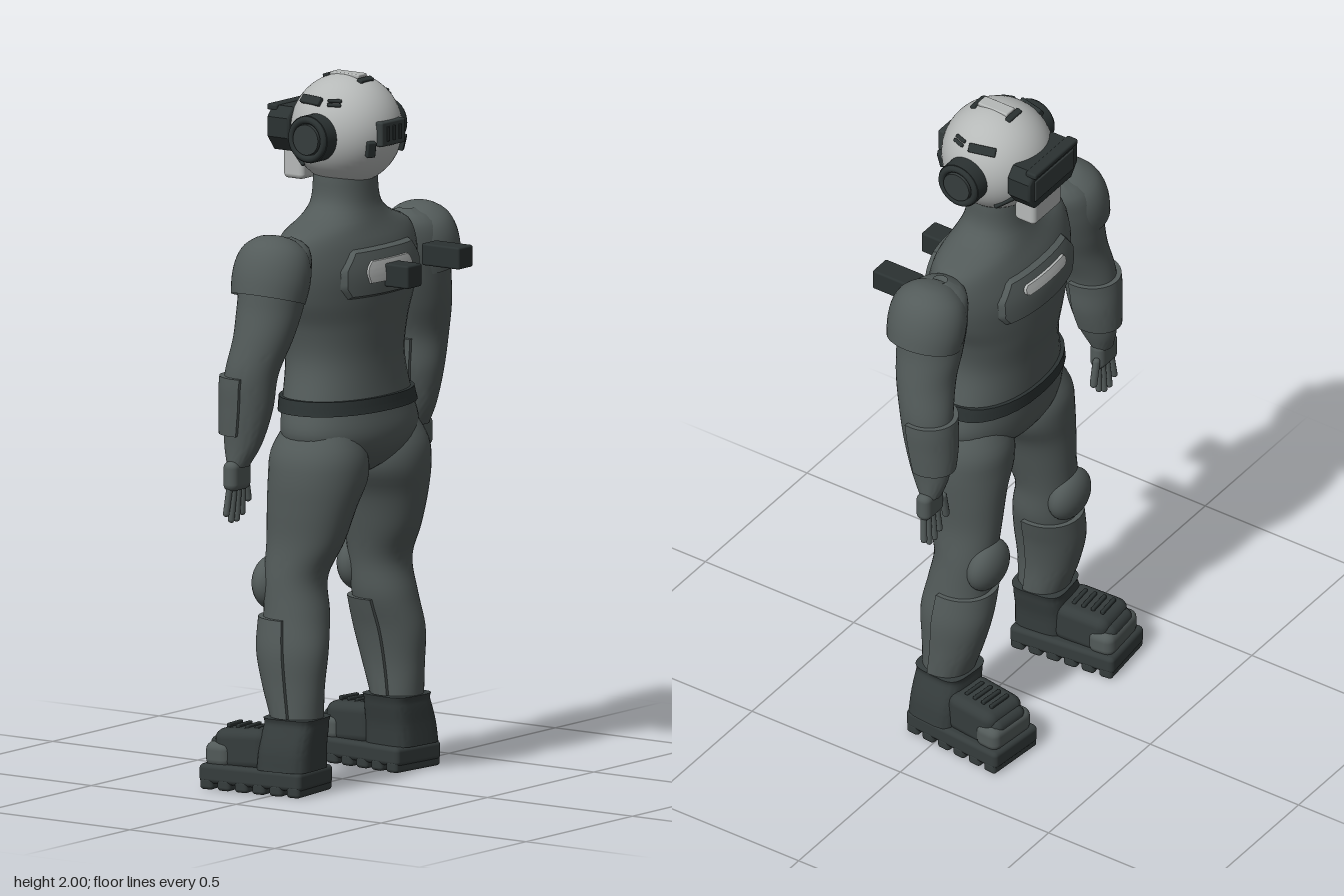
import * as THREE from 'three';
import { toCreasedNormals } from 'three/addons/utils/BufferGeometryUtils.js';
import { RoundedBoxGeometry } from 'three/addons/geometries/RoundedBoxGeometry.js';

const mat = (name, color) => Object.assign(new THREE.MeshStandardMaterial({ color }), { name });

export function createModel() {
  const model = new THREE.Group();
  model.name = 'suitedFigure';
  const suit = mat('suit grey', 0x525a59), boot = mat('boot grey', 0x353c3c);
  const dark = mat('dark trim', 0x2b3232), light = mat('helmet grey', 0xb6b9b8);
  const plate = mat('plate grey', 0x535b5a);
  plate.side = THREE.DoubleSide;

  const add = (name, geo, material, pos = [0, 0, 0], rot = [0, 0, 0], parent = model) => {
    const m = new THREE.Mesh(geo, material);
    m.name = name;
    m.position.set(...pos);
    m.rotation.set(...rot);
    parent.add(m);
    return m;
  };
  const box = (w, h, d, r = 0.006) => new RoundedBoxGeometry(w, h, d, 2, r);

  // Grid surface from f(u, v), u and v in 0..1
  const surface = (nu, nv, f, crease = 0.7) => {
    const pos = [], idx = [];
    for (let j = 0; j <= nv; j++) for (let i = 0; i <= nu; i++) pos.push(...f(i / nu, j / nv, i % nu === 0, j % nv === 0));
    for (let j = 0; j < nv; j++) for (let i = 0; i < nu; i++) {
      const a = j * (nu + 1) + i, b = a + nu + 1;
      idx.push(a, b, a + 1, a + 1, b, b + 1);
    }
    const g = new THREE.BufferGeometry();
    g.setAttribute('position', new THREE.Float32BufferAttribute(pos, 3));
    g.setIndex(idx);
    return toCreasedNormals(g, crease);
  };

  // Smooth interpolation of cross-sections [y, cx, cz, rx, rz] at height y
  const sample = (s, y) => {
    let i = 0;
    while (i < s.length - 2 && y > s[i + 1][0]) i++;
    const a = s[i], b = s[i + 1], h = b[0] - a[0], t = (y - a[0]) / h;
    const p = s[Math.max(i - 1, 0)], q = s[Math.min(i + 2, s.length - 1)];
    return a.map((v, k) => {
      const m0 = (b[k] - p[k]) / (b[0] - p[0]) * h, m1 = (q[k] - a[k]) / (q[0] - a[0]) * h;
      return (2 * t ** 3 - 3 * t * t + 1) * v + (t ** 3 - 2 * t * t + t) * m0 +
        (3 * t * t - 2 * t ** 3) * b[k] + (t ** 3 - t * t) * m1;
    });
  };
  const spow = (v, e) => Math.sign(v) * Math.abs(v) ** e;
  const ring = (s, y, th, n, off, side) => {
    const [, cx, cz, rx, rz] = sample(s, y);
    return [side * cx + (rx + off) * spow(Math.cos(th), 2 / n), y, cz + (rz + off) * spow(Math.sin(th), 2 / n)];
  };
  const loft = (s, rows, n = 2, side = 1) => {
    const y0 = s[0][0], y1 = s[s.length - 1][0];
    return surface(40, rows, (u, v) => ring(s, y0 + (y1 - y0) * v, u * Math.PI * 2, n, 0, side));
  };
  // Raised shell that follows a loft, with its rim sunk into the body
  const shell = (s, y0, y1, t0, t1, off, n = 2, side = 1) => surface(32, 14, (u, v, eu, ev) => {
    const fit = (a, k) => a <= 1 / k + 1e-6 ? 0 : a >= 1 - 1 / k - 1e-6 ? 1 : a;
    return ring(s, y0 + (y1 - y0) * fit(v, 14), t0 + (t1 - t0) * fit(u, 32), n, eu || ev ? -0.01 : off, side);
  });

  // Torso with neck and pelvis
  const torso = [
    [0.87, 0, 0.025, 0.04, 0.04], [0.9, 0, 0.025, 0.11, 0.09], [0.95, 0, 0.025, 0.21, 0.135],
    [1.0, 0, 0.025, 0.246, 0.145], [1.08, 0, 0.016, 0.228, 0.14], [1.2, 0, 0.008, 0.198, 0.138],
    [1.3, 0, 0.004, 0.213, 0.147], [1.38, 0, 0.006, 0.245, 0.152], [1.46, 0, 0.008, 0.263, 0.15],
    [1.53, 0, 0.01, 0.262, 0.13], [1.57, 0, 0.01, 0.235, 0.112], [1.6, 0, 0.01, 0.155, 0.1],
    [1.64, 0, 0.01, 0.106, 0.088], [1.72, 0, 0.01, 0.095, 0.082]];
  add('torso', loft(torso, 60, 2.2), suit);
  add('belt', shell(torso, 1.062, 1.102, 0, Math.PI * 2, 0.011, 2.2), dark);

  // Chest and back panels, bent to the torso; d = -1 chest side, d = 1 the other
  const patch = (d, y0, y1, width, off) => surface(24, 12, (u, v, eu, ev) => {
    const y = y0 + (y1 - y0) * v, x = -d * (u * 2 - 1) * width(v);
    const [, , cz, rx, rz] = sample(torso, y);
    return [x, y, cz + d * (rz * (1 - Math.abs(x / rx) ** 2.2) ** (1 / 2.2) + (eu || ev ? -0.008 : off))];
  }, 0.5);
  const octagon = v => 0.183 - 0.05 * Math.max(0, (v - 0.6) / 0.4) - 0.028 * Math.max(0, (0.25 - v) / 0.25);
  for (const d of [-1, 1]) add(d < 0 ? 'chestPanel' : 'backPanel', patch(d, 1.385, 1.53, octagon, 0.013), plate);
  add('chestStripe', patch(-1, 1.462, 1.498, v => 0.105 - 0.02 * Math.abs(2 * v - 1) ** 3, 0.02), light);
  add('backInsert', patch(1, 1.425, 1.497, v => 0.112 - 0.03 * Math.max(0, (v - 0.5) * 2) ** 2 - 0.03 * Math.max(0, 0.4 - v), 0.018), light);
  add('backModule', box(0.068, 0.065, 0.1), dark, [0, 1.446, 0.2]);
  add('sideModule', box(0.068, 0.062, 0.13), dark, [0.24, 1.465, 0.185]);

  const leg = [
    [0.14, 0.235, 0.03, 0.068, 0.06], [0.2, 0.235, 0.026, 0.067, 0.065], [0.3, 0.235, 0.012, 0.068, 0.085],
    [0.4, 0.228, 0.003, 0.078, 0.1], [0.5, 0.207, -0.006, 0.086, 0.094], [0.6, 0.198, -0.015, 0.084, 0.09],
    [0.7, 0.181, 0.005, 0.091, 0.115], [0.8, 0.168, 0.018, 0.108, 0.132], [0.88, 0.148, 0.025, 0.13, 0.142],
    [0.95, 0.145, 0.025, 0.122, 0.138], [1.03, 0.14, 0.025, 0.08, 0.1]];
  const arm = [
    [0.94, 0.422, -0.05, 0.034, 0.03], [1.0, 0.411, -0.042, 0.046, 0.055], [1.1, 0.402, -0.03, 0.063, 0.072],
    [1.2, 0.4, -0.02, 0.07, 0.078], [1.3, 0.372, 0, 0.082, 0.086], [1.38, 0.348, 0.005, 0.089, 0.095],
    [1.48, 0.325, 0.01, 0.094, 0.1], [1.55, 0.3, 0.01, 0.07, 0.075], [1.575, 0.29, 0.01, 0.02, 0.02]];
  const cuff = [
    [0.07, 0.01, 0.09, 0.088, 0.082], [0.13, 0.004, 0.09, 0.084, 0.08], [0.2, -0.014, 0.092, 0.076, 0.077],
    [0.218, -0.014, 0.092, 0.07, 0.07], [0.22, -0.014, 0.092, 0.01, 0.01]];
  const pad = [[0.097, -0.08], [0.102, -0.03], [0.098, 0.02], [0.082, 0.06], [0.05, 0.088], [0.02, 0.097], [0, 0.098]];

  for (const s of [-1, 1]) {
    const side = s > 0 ? 'left' : 'right';
    // Legs
    add(side + 'Leg', loft(leg, 44, 2.1, s), suit);
    add(side + 'ShinGuard', shell(leg, 0.215, 0.49, Math.PI - 0.15, 2 * Math.PI + 0.15, 0.014, 2.1, s), plate);
    add(side + 'KneePad', new THREE.SphereGeometry(1, 28, 18), suit, [s * 0.2, 0.575, -0.09], [-0.08, 0, 0])
      .scale.set(0.08, 0.078, 0.05);

    // Boots, toes turned outward
    const foot = new THREE.Group();
    foot.name = side + 'Boot';
    foot.position.set(s * 0.258, 0, -0.075);
    foot.rotation.y = -s * 0.1;
    model.add(foot);
    add('sole', box(0.187, 0.055, 0.33, 0.014), boot, [0, 0.045, 0], [0, 0, 0], foot);
    for (let i = 0; i < 6; i++) add('tread', box(0.187, 0.034, 0.042, 0.01), boot, [0, 0.017, -0.14 + i * 0.056], [0, 0, 0], foot);
    add('cuff', loft(cuff, 20, 4, s), boot, [0, 0, 0], [0, 0, 0], foot);
    add('instep', box(0.148, 0.12, 0.17, 0.03), boot, [0, 0.115, -0.045], [-0.06, 0, 0], foot);
    add('toeCap', box(0.166, 0.075, 0.08, 0.025), suit, [0, 0.097, -0.115], [0, 0, 0], foot);
    add('toeStrap', box(0.13, 0.09, 0.09, 0.025), boot, [0, 0.105, -0.105], [0, 0, 0], foot);
    for (let i = 0; i < 4; i++) add('lace', box(0.075, 0.012, 0.012, 0.004), dark, [0, 0.177, -0.1 + i * 0.03], [0, 0, 0], foot);

    // Arms with shoulder pads and forearm guards
    add(side + 'Arm', loft(arm, 40, 2, s), suit);
    add(side + 'ForearmGuard', shell(arm, 1.03, 1.195, Math.PI - 0.2, 2 * Math.PI + 0.2, 0.014, 2, s), plate);
    const profile = new THREE.SplineCurve(pad.map(p => new THREE.Vector2(...p))).getPoints(20);
    add(side + 'ShoulderPad', new THREE.LatheGeometry(profile, 36), plate, [s * 0.345, 1.487, 0.012], [0, 0, s * 0.27])
      .scale.z = 1.12;

    // Hands
    add(side + 'Palm', box(0.092, 0.085, 0.046, 0.02), suit, [s * 0.428, 0.915, -0.05]);
    for (let i = 0; i < 4; i++) {
      const len = [0.075, 0.09, 0.09, 0.07][i];
      add(side + 'Finger', new THREE.CapsuleGeometry(0.0095, len, 4, 10), suit,
        [s * (0.395 + i * 0.023), 0.88 - len / 2, -0.055], [0.08, 0, s * (i - 1.2) * 0.06]);
    }
    add(side + 'Thumb', new THREE.CapsuleGeometry(0.011, 0.07, 4, 10), suit, [s * 0.37, 0.875, -0.06], [0, 0, -s * 0.2]);

    // Ear cups
    const turn = [0, 0, Math.PI / 2];
    add(side + 'EarCup', new THREE.CylinderGeometry(0.067, 0.067, 0.045, 32), dark, [s * 0.165, 1.835, 0.018], turn);
    add(side + 'EarRim', new THREE.TorusGeometry(0.055, 0.01, 10, 32), dark, [s * 0.188, 1.835, 0.018], [0, Math.PI / 2, 0]);
    add(side + 'EarDisc', new THREE.CylinderGeometry(0.043, 0.043, 0.03, 32), boot, [s * 0.184, 1.835, 0.018], turn);
  }

  // Helmet
  const c = new THREE.Vector3(0, 1.84, 0.014), R = 0.157;
  add('helmet', new THREE.SphereGeometry(R, 48, 32), light, c.toArray());
  // Small fitting set on the helmet, facing outward from a point (x, y, z)
  const fitting = (name, p, size, material = dark, roll = 0) => {
    const dir = new THREE.Vector3(...p).sub(c).normalize();
    const m = add(name, box(...size, 0.004), material, c.clone().addScaledVector(dir, R).toArray());
    m.lookAt(c.clone().addScaledVector(dir, 2));
    m.rotateZ(roll);
  };
  add('crownStrip', box(0.04, 0.012, 0.1, 0.004), light, [0, 1.993, 0.02]);
  for (const z of [-0.038, 0.08]) fitting('crownClip', [0, 1.985, z], [0.06, 0.018, 0.012]);
  for (const s of [-1, 1]) {
    fitting('templePlate', [s * 0.125, 1.935, -0.018], [0.08, 0.026, 0.014]);
    for (const y of [1.928, 1.945]) fitting('templeBar', [s * 0.125, y, 0.062], [0.04, 0.01, 0.014]);
    fitting('cheekBar', [s * 0.11, 1.76, -0.085], [0.07, 0.012, 0.012], dark, s * 0.75);
    fitting('rearClip', [s * 0.073, 1.805, 0.15], [0.026, 0.046, 0.024]);
  }
  add('rearUnit', box(0.112, 0.07, 0.03), boot, [0, 1.845, 0.163]);
  for (const x of [-0.028, 0, 0.028]) add('rearSlot', box(0.013, 0.042, 0.006, 0.002), dark, [x, 1.845, 0.178]);

  // Visor and chin piece
  const v = new THREE.Shape([[-0.112, -0.02], [-0.085, -0.055], [0.085, -0.055], [0.112, -0.02],
    [0.112, 0.03], [0.09, 0.055], [-0.09, 0.055], [-0.112, 0.03]].map(p => new THREE.Vector2(...p)));
  const visor = new THREE.ExtrudeGeometry(v, { depth: 0.06, bevelSize: 0.008, bevelThickness: 0.008, bevelSegments: 3 });
  add('visor', toCreasedNormals(visor, 0.6), dark, [0, 1.838, -0.167]);
  add('visorLens', box(0.19, 0.07, 0.01, 0.004), boot, [0, 1.838, -0.174]);
  add('visorBrow', box(0.21, 0.018, 0.035), dark, [0, 1.895, -0.168]);
  add('chinPiece', box(0.14, 0.09, 0.07, 0.014), light, [0, 1.737, -0.122]);
  return model;
}
